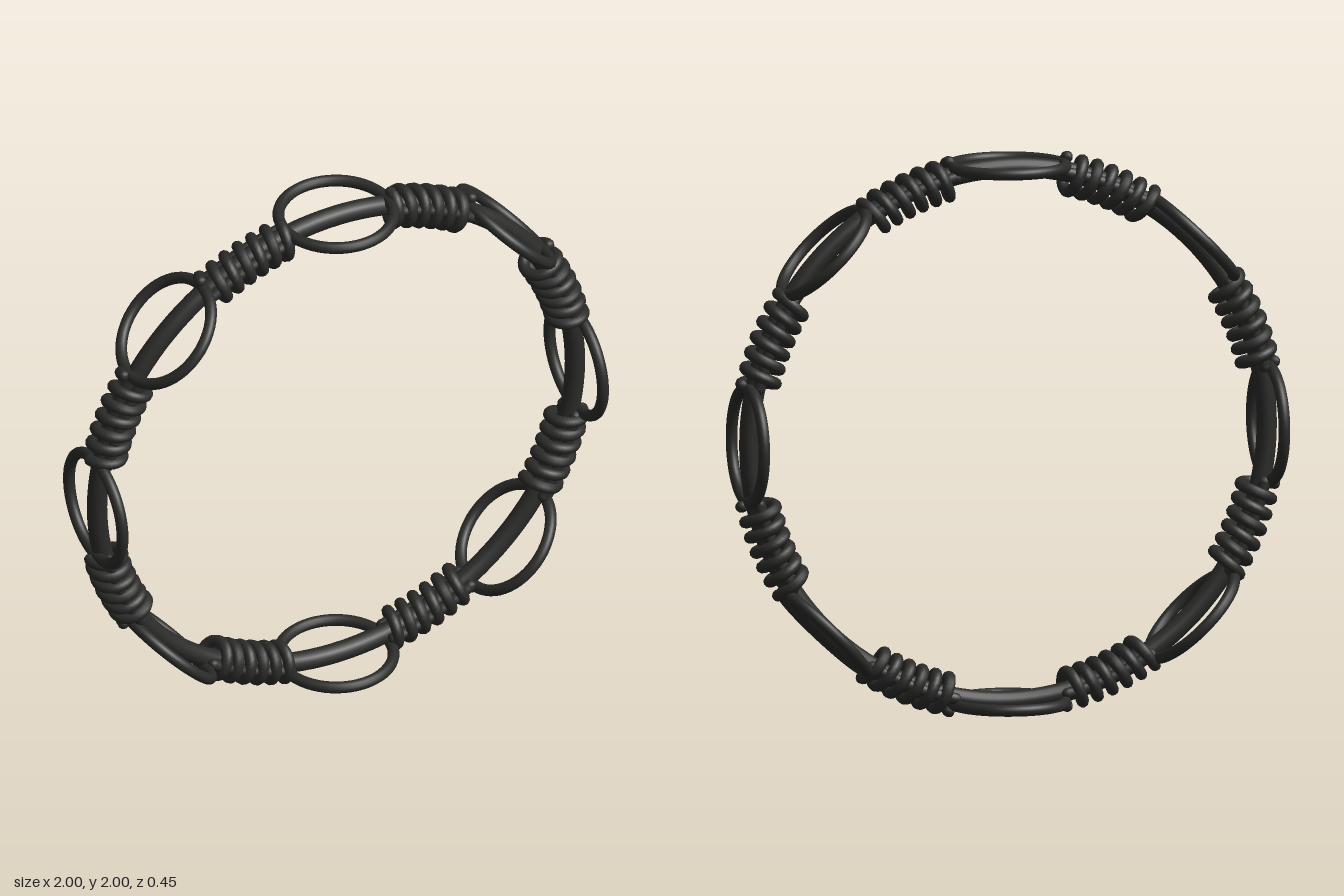
import * as THREE from 'three';

const material = new THREE.MeshStandardMaterial({ color: 0x2b2b2a, roughness: 0.8 });
const deg = Math.PI / 180;

// Closed-ended cord following a function of t in 0..1
class Path extends THREE.Curve {
  constructor(fn) { super(); this.fn = fn; }
  getPoint(t, target = new THREE.Vector3()) { return target.copy(this.fn(t)); }
}

// Point on the hoop: angle in degrees, distance from the hoop centre, depth
const polar = (angle, r, z) =>
  new THREE.Vector3(r * Math.cos(angle * deg), r * Math.sin(angle * deg), z);

function cord(name, fn, radius, segments, sides = 10) {
  const group = new THREE.Group();
  group.name = name;
  const add = (geometry, part) => {
    const mesh = new THREE.Mesh(geometry, material);
    mesh.name = part;
    group.add(mesh);
    return mesh;
  };
  add(new THREE.TubeGeometry(new Path(fn), segments, radius, sides), name + 'Strand');
  // Rounded ends
  for (const t of [0, 1]) {
    add(new THREE.SphereGeometry(radius, sides, 8), name + 'End').position.copy(fn(t));
  }
  return group;
}

export function createModel() {
  const model = new THREE.Group();
  model.name = 'wrappedHoop';
  const hoop = new THREE.Group();
  hoop.name = 'hoop';
  hoop.position.y = 1;
  model.add(hoop);

  // Main round band
  const band = new THREE.Mesh(new THREE.TorusGeometry(0.95, 0.036, 16, 128), material);
  band.name = 'mainBand';
  hoop.add(band);

  for (let i = 0; i < 8; i++) {
    // Flat side loop, lying tangent to the band
    const loop = new THREE.Mesh(new THREE.TorusGeometry(0.203, 0.021, 12, 56), material);
    loop.name = 'sideLoop';
    loop.position.copy(polar(i * 45, 0.955, 0));
    loop.rotation.set(0, Math.PI / 2, 0);
    const holder = new THREE.Group();
    holder.name = 'sideLoopHolder';
    loop.position.set(0.955, 0, 0);
    holder.rotation.z = i * 45 * deg;
    holder.add(loop);
    hoop.add(holder);

    // Wrapping between loops, winding alternately mirrored
    const middle = 22.5 + i * 45;
    const dir = i % 2 ? -1 : 1;
    const turns = 6;
    hoop.add(cord('wrapping', t => {
      const phase = t * turns * 2 * Math.PI;
      return polar(middle + dir * (t - 0.5) * 20, 0.942 + 0.06 * Math.cos(phase), 0.06 * Math.sin(phase));
    }, 0.021, 168));

    // Two cords running beside the band under the wrapping
    for (const side of [-1, 1]) {
      hoop.add(cord('innerCord', t =>
        polar(middle + (t - 0.5) * 20, 0.95, side * 0.045), 0.021, 16));
    }
  }
  return model;
}
